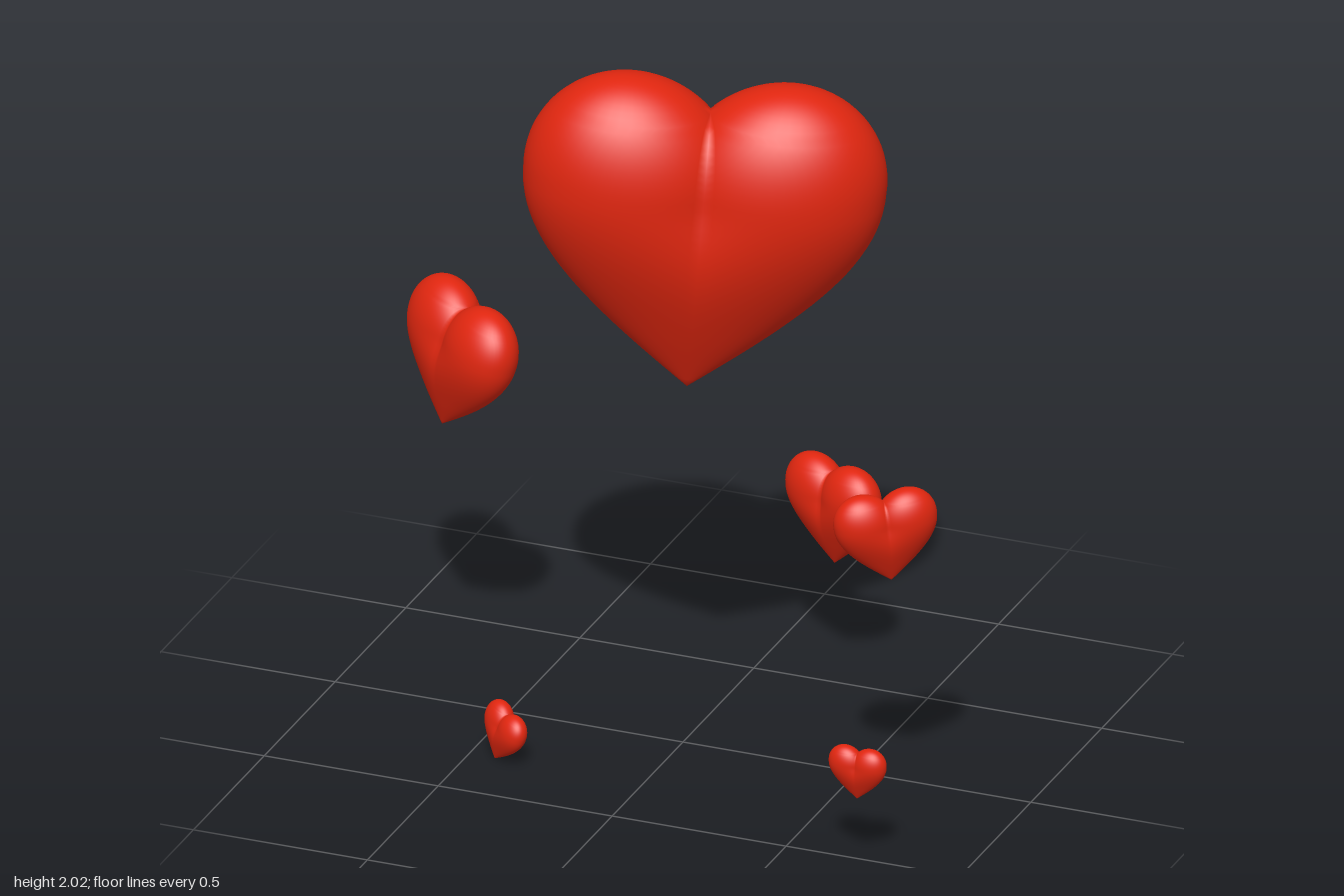
import * as THREE from 'three';
import { mergeVertices } from 'three/addons/utils/BufferGeometryUtils.js';

const CX = 0.195, SPREAD = 0.02; // lobe centre and how far it drifts outward at the top
const A = 0.29, B = 0.2;         // lobe half width and half depth
const WAIST = 0.61, RISE = 0.29; // height of the widest level, rise of the lobes above it

// Horizontal slices of one lobe, from the tip up: ellipses cut off at the middle plane
function lobeSlices() {
  const slices = [];
  for (let i = 0; i <= 24; i++) {
    const t = i / 24, s = Math.sin(t * Math.PI / 2);
    const cx = CX * THREE.MathUtils.smoothstep(t, 0.3, 1);
    slices.push({ y: WAIST * t, cx, a: (CX + A) * s - cx, b: B * s });
  }
  // Above the notch angle the two lobes part from each other
  const notch = Math.acos(CX / Math.hypot(A, SPREAD)) - Math.atan2(SPREAD, A);
  const n = 10;
  for (let i = 1; i <= 2 * n; i++) {
    const p = i <= n ? notch * i / n : notch + (Math.PI / 2 - notch) * (i - n) / n;
    slices.push({
      y: WAIST + RISE * Math.sin(p),
      cx: CX + SPREAD * Math.sin(p),
      a: A * Math.cos(p),
      b: B * Math.cos(p),
    });
  }
  return slices;
}

// Both mirrored lobes in one smooth surface, tip at the origin
function heartGeometry() {
  const slices = lobeSlices(), seg = 40, row = seg + 1;
  const positions = [], index = [];
  for (const side of [1, -1]) {
    const base = positions.length / 3;
    slices.forEach(({ y, cx, a, b }, i) => {
      const end = a > 1e-6 ? Math.acos(-Math.min(1, cx / a)) : Math.PI;
      for (let j = 0; j <= seg; j++) {
        const angle = end * (2 * j / seg - 1);
        positions.push(side * (cx + a * Math.cos(angle)), y, b * Math.sin(angle));
        if (i === 0 || j === 0) continue;
        const d = base + i * row + j, c = d - 1, q = d - row, o = q - 1;
        if (side > 0) index.push(o, c, q, q, c, d);
        else index.push(o, q, c, q, d, c);
      }
    });
  }
  let geometry = new THREE.BufferGeometry();
  geometry.setAttribute('position', new THREE.Float32BufferAttribute(positions, 3));
  geometry.setIndex(index);
  geometry = mergeVertices(geometry, 1e-4);
  geometry.computeVertexNormals();
  return geometry;
}

export function createModel() {
  const model = new THREE.Group();
  model.name = 'floatingHearts';
  const red = new THREE.MeshStandardMaterial({ color: 0xe0260f });
  red.name = 'red';
  const geometry = heartGeometry();

  // Tip position, scale, then yaw, pitch and roll in degrees
  const hearts = [
    { name: 'largeHeart', tip: [0.06, 1.11, 0.12], scale: 1, turn: [21, 0, -4.5] },
    { name: 'rightHeart', tip: [-0.72, 0.78, -0.067], scale: 0.435, turn: [-33, -9, -8] },
    { name: 'leftHeart', tip: [0.733, 0.75, 0.328], scale: 0.29, turn: [34, 0, 5.5] },
    { name: 'backHeart', tip: [0.24, 0.36, -0.481], scale: 0.333, turn: [-23, 0, 1] },
    { name: 'smallFrontHeart', tip: [0.723, 0.2, 0.547], scale: 0.168, turn: [0, 0, -1] },
    { name: 'smallLowHeart', tip: [-0.426, 0, 0.283], scale: 0.173, turn: [-35, -11, -13] },
  ];
  for (const { name, tip, scale, turn } of hearts) {
    const heart = new THREE.Mesh(geometry, red);
    const [yaw, pitch, roll] = turn.map(THREE.MathUtils.degToRad);
    heart.name = name;
    heart.position.set(...tip);
    heart.rotation.set(pitch, yaw, roll, 'YXZ');
    heart.scale.setScalar(scale);
    model.add(heart);
  }
  return model;
}
